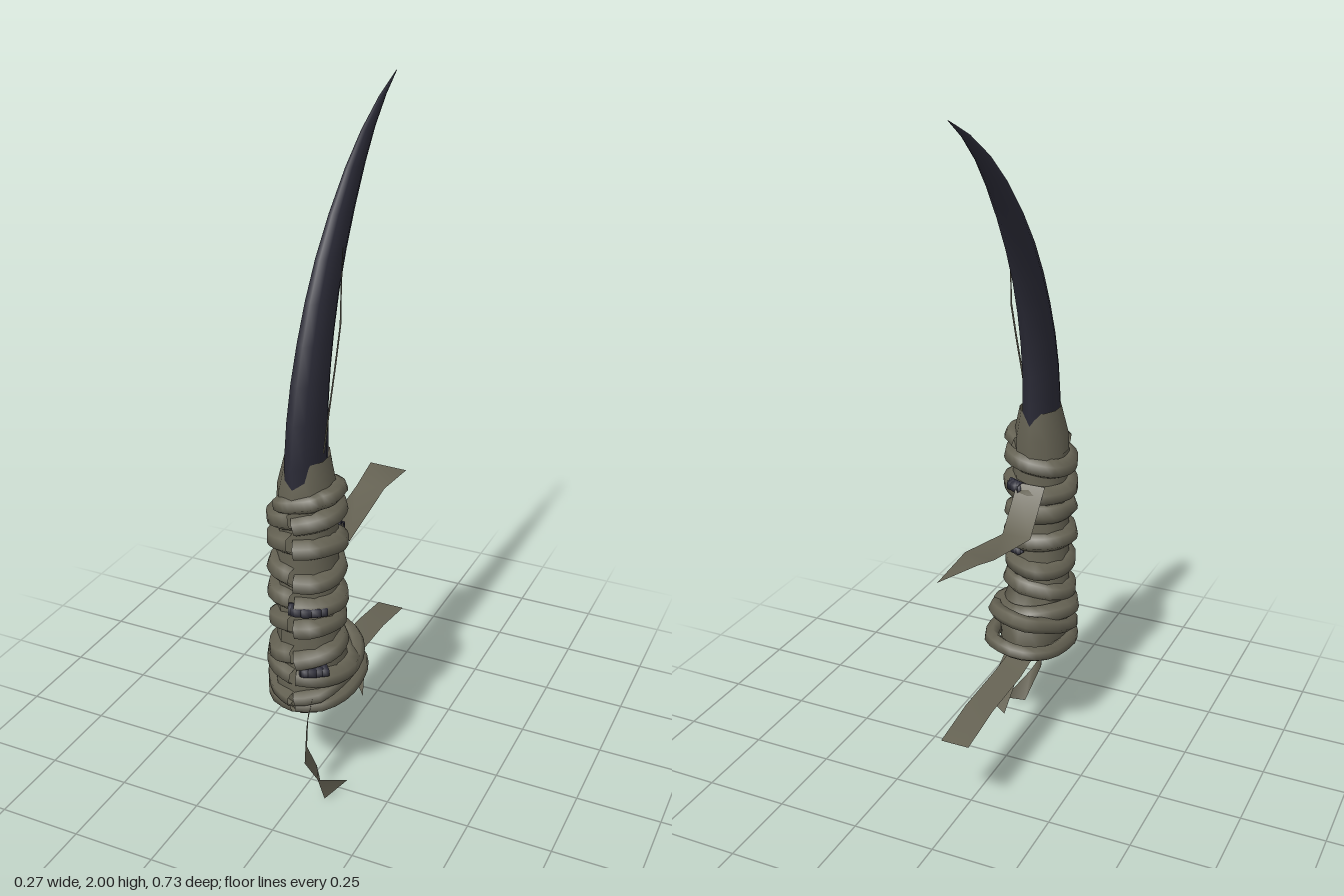
import * as THREE from 'three';

const blade = new THREE.MeshStandardMaterial({ color: 0x2b2b37 });
blade.name = 'dark blade';
const cloth = new THREE.MeshStandardMaterial({ color: 0x666354, side: THREE.DoubleSide });
cloth.name = 'grey cloth';

function surface(rows, closed) {
  const n = rows[0].length, pos = rows.flat(2), idx = [];
  for (let i = 0; i < rows.length - 1; i++) {
    for (let j = 0; j < (closed ? n : n - 1); j++) {
      const a = i * n + j, b = i * n + (j + 1) % n;
      idx.push(a, b, a + n, b, b + n, a + n);
    }
  }
  const g = new THREE.BufferGeometry();
  g.setAttribute('position', new THREE.Float32BufferAttribute(pos, 3));
  g.setIndex(idx);
  g.computeVertexNormals();
  return g;
}

// Stacked ellipses: [y, front z, back z, half width, rise toward the back]
function loft(sections, sides) {
  return surface(sections.map(([y, zf, zb, rx, rise = 0]) =>
    Array.from({ length: sides }, (_, j) => {
      const a = j / sides * Math.PI * 2, c = Math.cos(a);
      return [Math.sin(a) * rx, y - rise * c, (zf + zb) / 2 + c * (zf - zb) / 2];
    })), true);
}

// Ribbon: [x, y, z, then the half-width vector]
function ribbon(points) {
  return surface(points.map(([x, y, z, u, v, w]) =>
    [[x - u, y - v, z - w], [x + u, y + v, z + w]]), false);
}

// Elliptical cord around the grip; tilts lift its +x and +z sides
function cord({ y, z = 0.253, rx = 0.086, rz = 0.08, tx = 0, tz = 0, r = 0.032, from = 0, to = 1, lift = 0 }) {
  const pts = [], count = 11;
  for (let i = 0; i <= count; i++) {
    const t = from + (to - from) * i / count, a = t * Math.PI * 2;
    const s = Math.sin(a), c = Math.cos(a), wobble = 1 + 0.035 * Math.sin(i * 2.4 + y * 31);
    pts.push(new THREE.Vector3(s * rx * wobble, y + tx * s + tz * c + lift * (t - 0.5), z + c * rz * wobble));
  }
  return new THREE.TubeGeometry(new THREE.CatmullRomCurve3(pts), 24, r, 6, false);
}

export function createModel() {
  const model = new THREE.Group();
  const add = (name, geometry, material) => {
    const m = new THREE.Mesh(geometry, material);
    m.name = name;
    model.add(m);
  };

  // Curved claw-like blade
  add('blade', loft([
    [0.95, 0.335, 0.165, 0.048], [1.08, 0.345, 0.16, 0.05], [1.2, 0.327, 0.157, 0.048],
    [1.3, 0.302, 0.14, 0.045], [1.4, 0.266, 0.112, 0.041], [1.5, 0.222, 0.073, 0.036],
    [1.6, 0.164, 0.022, 0.031], [1.7, 0.088, -0.04, 0.025], [1.8, -0.006, -0.112, 0.018],
    [1.88, -0.102, -0.18, 0.012], [1.95, -0.215, -0.258, 0.006], [2, -0.328, -0.332, 0.001],
  ], 10), blade);

  // Cloth collar and grip core with its swollen, slanting base
  add('collar', loft([[0.9, 0.34, 0.165, 0.085], [1.0, 0.345, 0.157, 0.08], [1.085, 0.325, 0.165, 0.06]], 10), cloth);
  add('gripCore', loft([
    [0.285, 0.22, 0.18, 0.01], [0.295, 0.31, 0.11, 0.07, 0.01], [0.34, 0.35, 0.075, 0.105, 0.01],
    [0.42, 0.35, 0.1, 0.11, 0.02], [0.5, 0.335, 0.165, 0.092], [0.95, 0.335, 0.17, 0.085],
  ], 10), cloth);

  // Upper windings
  for (let i = 0; i < 6; i++) {
    const y = 0.92 - i * 0.084;
    add('winding', cord({
      y, tx: 0.012 * Math.cos(i * 1.3) + 0.006, tz: 0.012 * Math.sin(i * 2.1),
      rx: 0.084 + 0.004 * Math.sin(i * 2.7), lift: 0.02,
    }), cloth);
  }
  add('topWinding', cord({ y: 0.972, tx: 0.02, from: -0.1, to: 0.42, r: 0.026 }), cloth);

  // Lower windings leaning out over the base
  [
    { y: 0.435, z: 0.225, rx: 0.105, rz: 0.105, tz: -0.005, tx: -0.01 },
    { y: 0.405, z: 0.205, rx: 0.11, rz: 0.14, tz: -0.045, tx: 0.012, r: 0.025 },
    { y: 0.345, z: 0.19, rx: 0.115, rz: 0.15, tz: -0.012, tx: 0.01, r: 0.024 },
  ].forEach((o) => add('lowerWinding', cord(o), cloth));

  // Dark binding showing between the windings
  [
    { y: 0.655, from: -0.02, to: 0.15 }, { y: 0.455, from: 0.02, to: 0.15, rx: 0.1, rz: 0.088 },
    { y: 0.845, from: 0.38, to: 0.47 }, { y: 0.64, from: 0.38, to: 0.47 },
  ].forEach((o) => add('darkBinding', cord({ rx: 0.1, rz: 0.094, r: 0.02, ...o }), blade));

  // Loose cloth ends
  add('frontStrip', ribbon([
    [0.05, 0.38, 0.325, 0.012, 0, 0.035], [0.03, 0.28, 0.328, 0.014, 0, 0.035],
    [0.026, 0.16, 0.333, 0.014, 0, 0.036], [0.055, 0.095, 0.318, 0.018, 0.004, 0.034],
    [0.098, 0.022, 0.282, 0.022, 0.018, -0.032],
  ]), cloth);
  add('upperBackStrip', ribbon([
    [-0.005, 0.86, 0.165, 0.045, 0, 0], [-0.005, 0.735, 0.06, 0.045, 0, 0],
    [-0.005, 0.785, -0.19, 0.045, 0.003, 0], [-0.005, 0.793, -0.325, 0.045, -0.02, -0.035],
  ]), cloth);
  add('lowerBackStrip', ribbon([
    [-0.005, 0.315, 0.11, 0.04, 0, 0], [-0.005, 0.3, 0, 0.043, 0, 0],
    [-0.005, 0.295, -0.2, 0.043, 0, 0], [-0.005, 0.27, -0.36, 0.043, 0, 0],
  ]), cloth);
  add('shortBackStrip', ribbon([
    [0.02, 0.315, 0.11, 0.03, 0, 0], [0.0, 0.28, -0.02, 0.035, 0.004, 0],
    [-0.01, 0.25, -0.1, 0.035, 0.014, 0.012],
  ]), cloth);
  add('sideStrip', ribbon([
    [0.1, 0.35, 0.12, 0.015, -0.015, 0], [0.115, 0.315, 0.16, 0.018, -0.02, 0.01],
  ]), cloth);

  // Thin thread clinging to the blade's left side
  add('bladeThread', ribbon([
    [0.05, 1.1, 0.25, 0, 0.003, 0.005], [0.049, 1.2, 0.215, 0, 0.002, 0.005],
    [0.046, 1.315, 0.168, 0, 0.002, 0.005], [0.043, 1.42, 0.128, 0, 0.002, 0.005],
    [0.038, 1.52, 0.112, 0, 0, 0.004], [0.034, 1.62, 0.093, 0, 0, 0.003],
  ]), cloth);
  return model;
}
